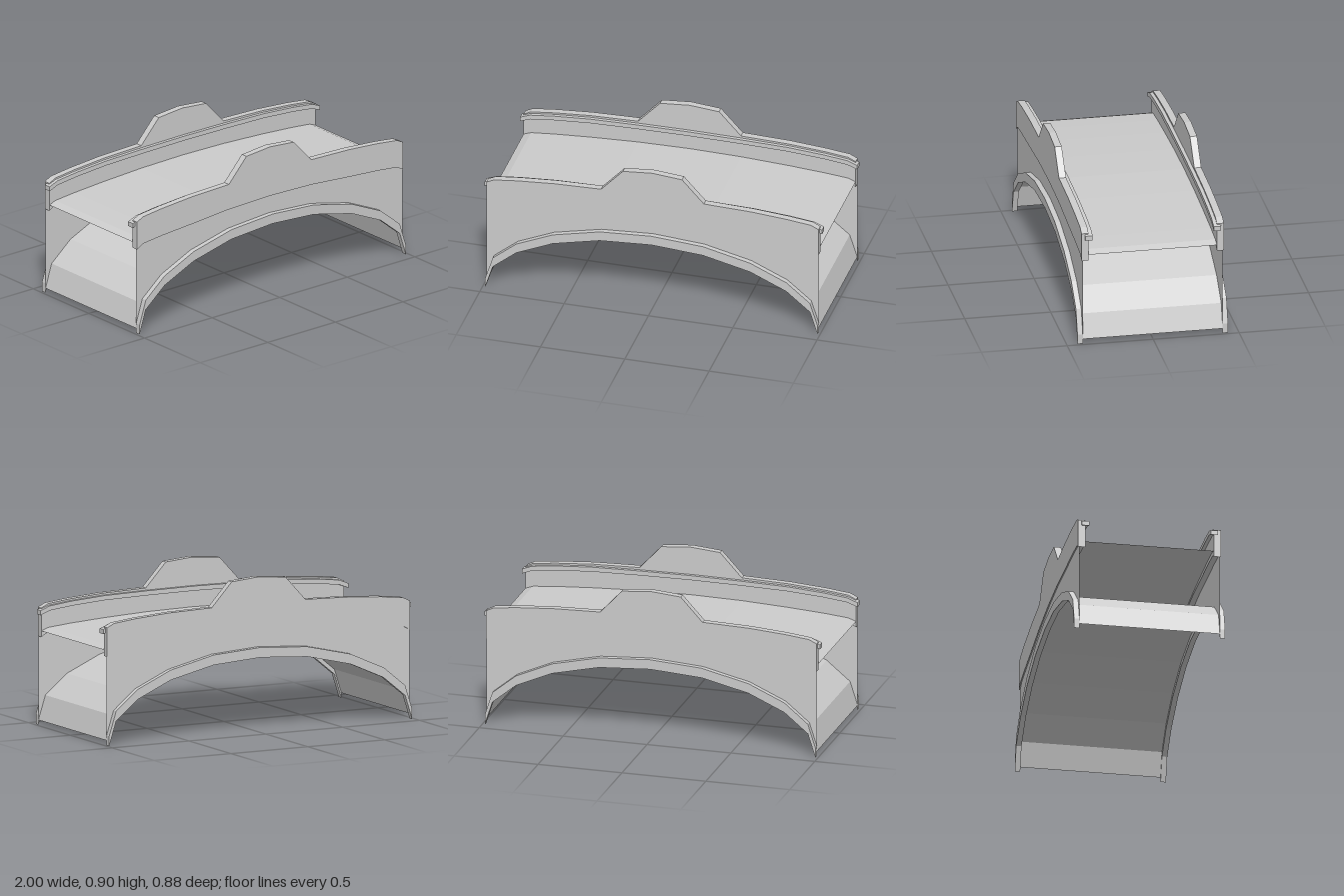
import * as THREE from 'three';

const material = new THREE.MeshStandardMaterial({ color: 0xcccccc, flatShading: true, side: THREE.DoubleSide });

// Half profiles run from the +x end to the crown; the other half is mirrored.
const END = 0.985;
const archTop = [[END, 0.06], [0.94, 0.2], [0.8, 0.315], [0.585, 0.41], [0.305, 0.475], [0, 0.495]];
const deckLine = [[END, 0.55], [0.94, 0.567], [0.8, 0.58], [0.585, 0.594], [0.305, 0.607], [0, 0.612]];
const parapetBase = [[END, 0.515], [0.94, 0.54], [0.8, 0.555], [0.585, 0.57], [0.305, 0.592], [0, 0.6]];
const parapetTop = [[END, 0.683], [0.94, 0.705], [0.8, 0.721], [0.585, 0.737], [0.305, 0.745], [0.175, 0.885], [0, 0.9]];
const railTop = [[1, 0.672], [0.94, 0.695], [0.8, 0.711], [0.585, 0.726], [0.305, 0.732], [0, 0.735]];

const lower = (half, d) => half.map(([x, y]) => [x, y - d]);
const mirror = (half) => [...half, ...half.slice(0, -1).reverse().map(([x, y]) => [-x, y])];

// Closed outline between two mirrored profiles
function bandShape(top, bottom) {
  const points = [...mirror(top), ...mirror(bottom).reverse()];
  return new THREE.Shape(points.map(([x, y]) => new THREE.Vector2(x, y)));
}

function addMesh(group, name, geometry) {
  const mesh = new THREE.Mesh(geometry, material);
  mesh.name = name;
  group.add(mesh);
}

// Solid band between z0 and z1
function addBand(group, name, top, bottom, z0, z1) {
  const geometry = new THREE.ExtrudeGeometry(bandShape(top, bottom), { depth: z1 - z0, bevelEnabled: false });
  addMesh(group, name, geometry.translate(0, 0, z0));
}

// Thin sheet following a profile across the width of the bridge
function addSheet(group, name, half, halfWidth) {
  const line = mirror(half);
  const geometry = new THREE.PlaneGeometry(1, 1, line.length - 1, 1);
  const position = geometry.attributes.position;
  for (let i = 0; i < position.count; i++) {
    const [x, y] = line[line.length - 1 - (i % line.length)];
    position.setXYZ(i, x, y, i < line.length ? -halfWidth : halfWidth);
  }
  geometry.computeVertexNormals();
  addMesh(group, name, geometry);
}

export function createModel() {
  const bridge = new THREE.Group();
  bridge.name = 'archBridge';

  // Roadway and the vault beneath it
  addSheet(bridge, 'deck', deckLine, 0.374);
  addSheet(bridge, 'vault', lower(archTop, 0.03), 0.407);

  // Each side: arch ring, spandrel wall, parapet and inner handrail
  for (const [name, turn] of [['frontSide', 0], ['backSide', Math.PI]]) {
    const side = new THREE.Group();
    side.name = name;
    addBand(side, 'archRing', archTop, lower(archTop, 0.058), 0.407, 0.438);
    const wall = new THREE.ShapeGeometry(bandShape(parapetBase, lower(archTop, 0.03)));
    addMesh(side, 'spandrelWall', wall.translate(0, 0, 0.407));
    addBand(side, 'parapet', parapetTop, parapetBase, 0.373, 0.414);
    addBand(side, 'handrail', railTop, lower(railTop, 0.027), 0.352, 0.395);
    side.rotation.y = turn;
    bridge.add(side);
  }

  return bridge;
}
